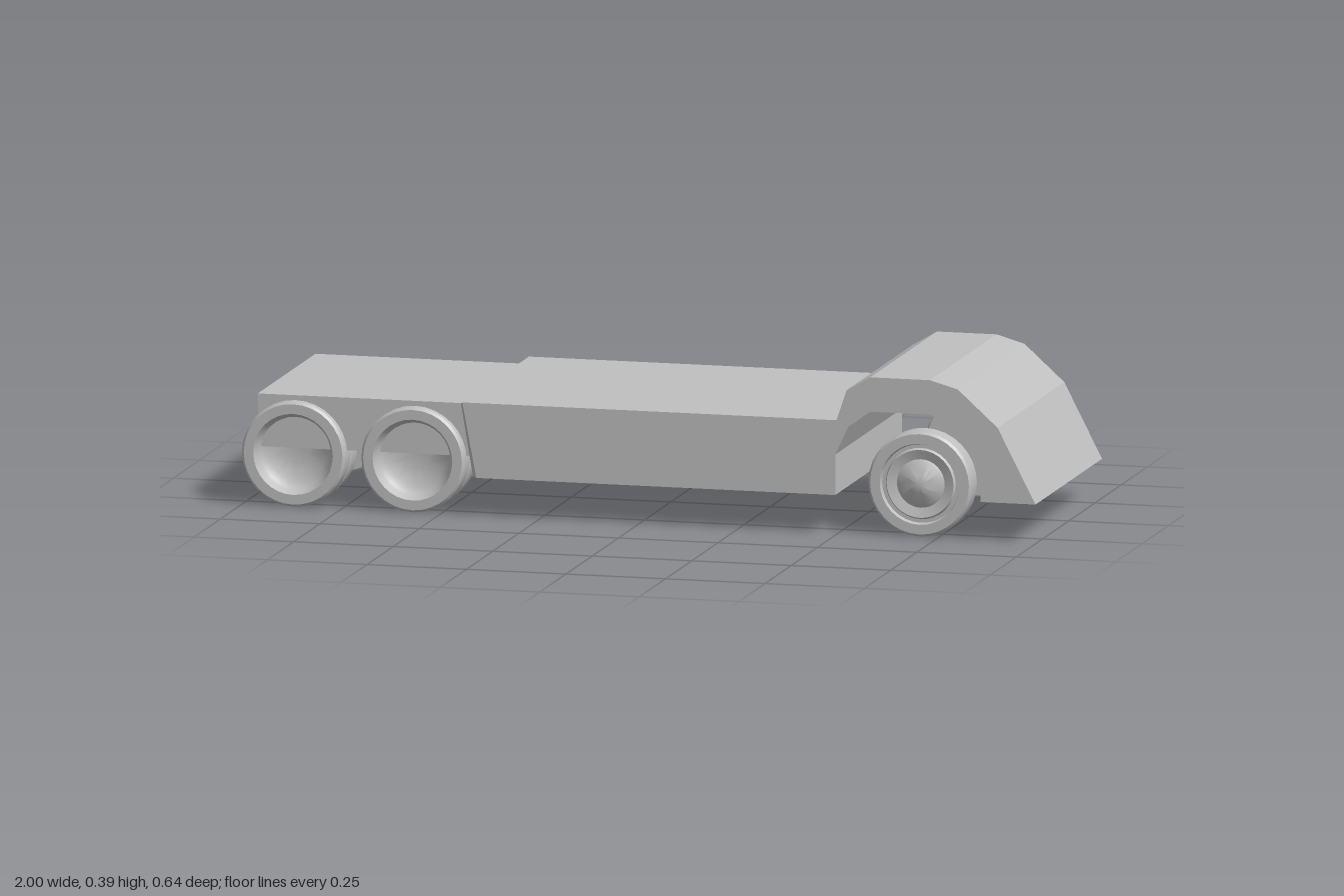
import * as THREE from 'three';
import { toCreasedNormals } from 'three/addons/utils/BufferGeometryUtils.js';
import { ConvexGeometry } from 'three/addons/geometries/ConvexGeometry.js';

export function createModel() {
  const model = new THREE.Group();
  model.name = 'flatbedChassis';
  const grey = new THREE.MeshStandardMaterial({ color: 0xc0c0c0 });
  grey.name = 'plain grey';

  const add = (name, geometry, parent = model) => {
    const mesh = new THREE.Mesh(geometry, grey);
    mesh.name = name;
    parent.add(mesh);
    return mesh;
  };

  // Side profile extruded across the full width
  const extrude = (points, halfWidth) => {
    const shape = new THREE.Shape(points.map(([x, y]) => new THREE.Vector2(x, y)));
    const g = new THREE.ExtrudeGeometry(shape, { depth: halfWidth * 2, bevelEnabled: false });
    return g.translate(0, 0, -halfWidth);
  };

  // Main bed and arched front fender
  add('bedAndFender', extrude([
    [-0.405, 0.1], [0.497, 0.1], [0.497, 0.2], [0.53, 0.27], [0.585, 0.31],
    [0.735, 0.31], [0.81, 0.285], [0.862, 0.21], [0.862, 0.1], [1, 0.1],
    [0.905, 0.285], [0.805, 0.375], [0.735, 0.395], [0.585, 0.395],
    [0.525, 0.36], [0.5, 0.285], [-0.44, 0.285],
  ], 0.318));

  // Tapered rear end of the bed
  const tail = [];
  for (const s of [-1, 1]) {
    for (const [x, y, z] of [
      [-0.44, 0.285, 0.318], [-0.405, 0.1, 0.318],
      [-0.452, 0.275, 0.285], [-0.418, 0.1, 0.3],
    ]) tail.push(new THREE.Vector3(x, y, z * s));
  }
  add('bedTail', new ConvexGeometry(tail));

  // Lower rear deck
  const deck = new THREE.BoxGeometry(0.545, 0.13, 0.55);
  deck.translate(-0.6925, 0.21, 0);
  add('rearDeck', deck);

  // Wheels: profile pairs are radius and offset along the axle, flat at the back
  const wheel = (face) => {
    const profile = [
      [0, -0.03], [0.124, -0.03], [0.13, -0.024], [0.13, 0.024], [0.124, 0.03], [0.1, 0.03], ...face,
    ].map(([r, y]) => new THREE.Vector2(r, y));
    return toCreasedNormals(new THREE.LatheGeometry(profile, 32).rotateX(Math.PI / 2), 0.6);
  };
  const dished = wheel([[0.092, 0.012], [0.087, 0.002], [0.072, -0.01], [0.04, -0.018], [0.03, -0.02], [0, -0.02]]);
  const domed = wheel([[0.097, 0.018], [0.088, 0.018], [0.084, 0.025], [0.06, 0.018], [0.054, 0.022], [0.026, 0.034], [0.022, 0.036], [0, 0.036]]);
  const inner = wheel([[0.09, 0.015], [0, 0.015]]);

  for (const [side, s] of [['left', 1], ['right', -1]]) {
    const place = (name, geometry, x, z) => {
      const w = add(side + name, geometry);
      w.position.set(x, 0.133, z * s);
      if (s < 0) w.rotation.y = Math.PI;
    };
    place('FrontWheel', domed, 0.704, 0.27);
    [-0.87, -0.57].forEach((x, i) => {
      place('OuterRearWheel' + (i + 1), dished, x, 0.27);
      place('InnerRearWheel' + (i + 1), inner, x, 0.205);
    });
  }
  return model;
}
